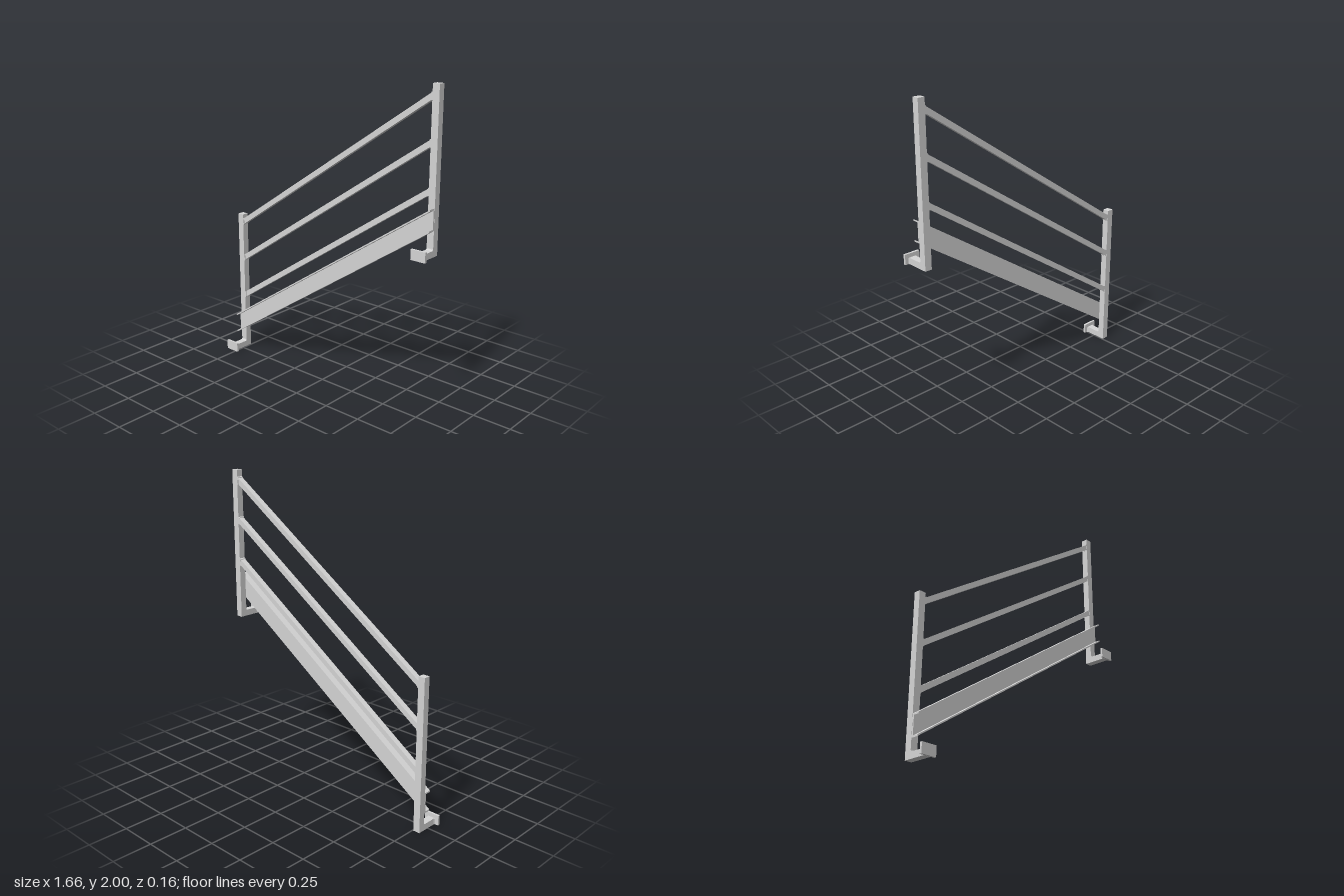
import * as THREE from 'three';

const SLOPE = 0.664;

export function createModel() {
  const group = new THREE.Group();
  const steel = new THREE.MeshStandardMaterial({ color: 0xd5d5d5 });
  steel.name = 'lightGreySteel';

  const add = (name, geometry, parent = group) => {
    const mesh = new THREE.Mesh(geometry, steel);
    mesh.name = name;
    parent.add(mesh);
    return mesh;
  };

  // Sloping bar with vertical ends; y and height are measured vertically at x = 0
  const slopedBar = (name, x0, x1, y, height, zBack, zFront) => {
    const h = height / 2, y0 = y + x0 * SLOPE, y1 = y + x1 * SLOPE;
    const shape = new THREE.Shape([
      new THREE.Vector2(x0, y0 - h),
      new THREE.Vector2(x1, y1 - h),
      new THREE.Vector2(x1, y1 + h),
      new THREE.Vector2(x0, y0 + h),
    ]);
    const geometry = new THREE.ExtrudeGeometry(shape, { depth: zFront - zBack, bevelEnabled: false });
    return add(name, geometry.translate(0, 0, zBack));
  };

  // Three handrails between the posts, with a slim weld collar at each end
  for (const [name, y] of [['topRail', 1.432], ['middleRail', 1.172], ['lowerRail', 0.897]]) {
    slopedBar(name, -0.756, 0.756, y, 0.04, -0.078, -0.041);
    slopedBar(name + 'RightWeld', -0.756, -0.748, y, 0.047, -0.08, -0.039);
    slopedBar(name + 'LeftWeld', 0.748, 0.756, y, 0.047, -0.08, -0.039);
  }

  // Channel-section stringer, open to the front
  slopedBar('stringerWeb', -0.8, 0.8, 0.712, 0.134, -0.037, -0.028);
  slopedBar('stringerTopFlange', -0.8, 0.8, 0.774, 0.01, -0.028, 0.009);
  slopedBar('stringerBottomFlange', -0.8, 0.8, 0.65, 0.01, -0.028, 0.009);

  // Post bent forward into a foot: L profile (z, y) with a small inner fillet
  const profile = new THREE.Shape();
  profile.moveTo(-0.081, 0);
  profile.lineTo(0.066, 0);
  profile.lineTo(0.066, 0.04);
  profile.lineTo(-0.026, 0.04);
  profile.quadraticCurveTo(-0.038, 0.04, -0.038, 0.052);
  profile.lineTo(-0.038, 0.98);
  profile.lineTo(-0.081, 0.98);
  profile.closePath();

  // Flared collar joining the foot to its plate (x, -z)
  const collarShape = new THREE.Shape([
    new THREE.Vector2(-0.028, -0.067),
    new THREE.Vector2(0.028, -0.067),
    new THREE.Vector2(0.022, -0.055),
    new THREE.Vector2(-0.022, -0.055),
  ]);

  for (const [name, x, y] of [['rightPost', -0.778, 0], ['leftPost', 0.778, 1.02]]) {
    const post = new THREE.Group();
    post.name = name;
    post.position.set(x, y, 0);
    group.add(post);

    const bent = new THREE.ExtrudeGeometry(profile, { depth: 0.045, bevelEnabled: false, curveSegments: 5 });
    add('postAndFoot', bent.rotateY(-Math.PI / 2).translate(0.0225, 0, 0), post);

    const collar = new THREE.ExtrudeGeometry(collarShape, { depth: 0.038, bevelEnabled: false });
    add('footCollar', collar.rotateX(-Math.PI / 2).translate(0, 0.001, 0), post);

    add('fixingPlate', new THREE.BoxGeometry(0.1, 0.064, 0.014).translate(0, 0.033, 0.073), post);
  }

  return group;
}
